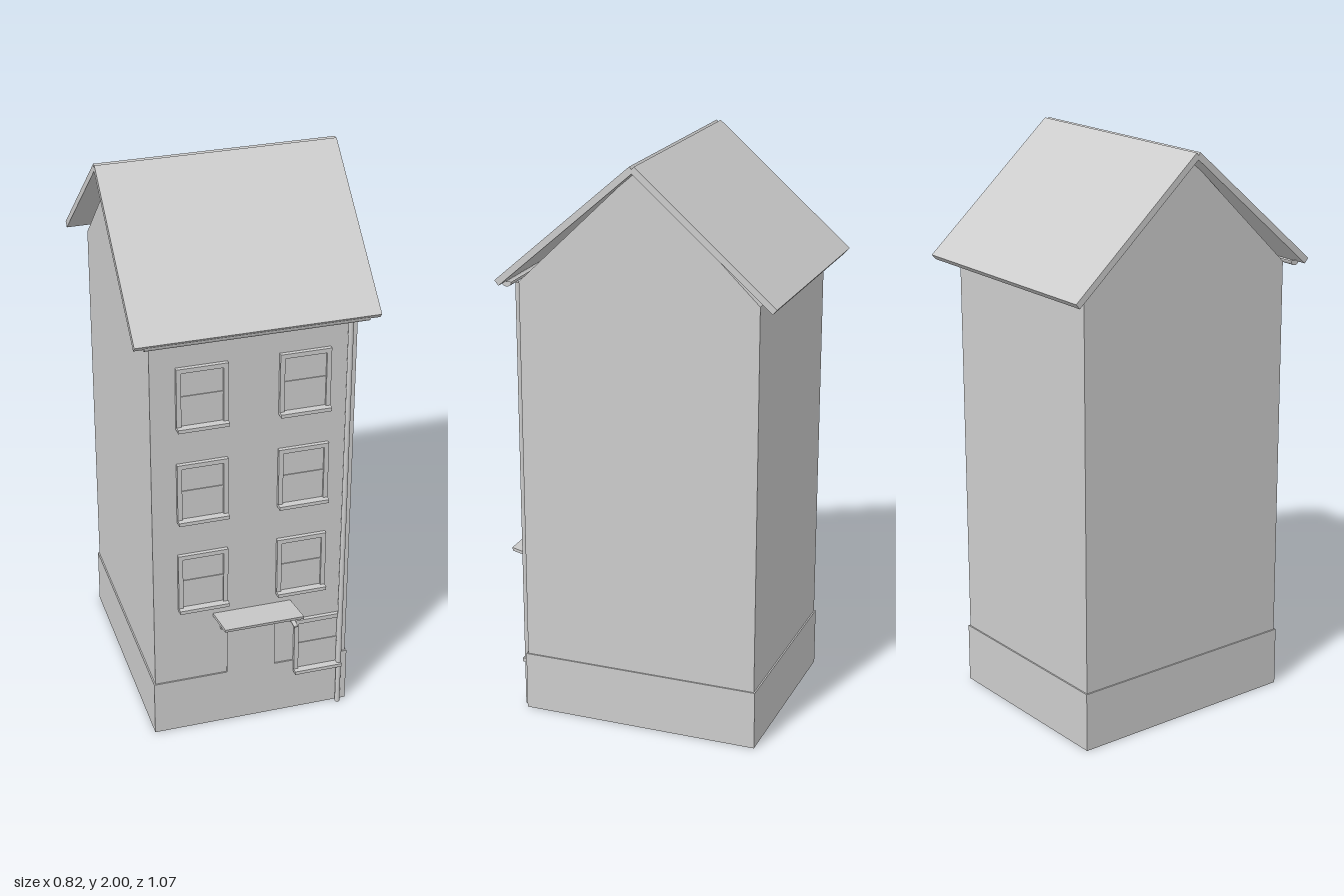
import * as THREE from 'three';

export function createModel() {
  const house = new THREE.Group();
  house.name = 'townHouse';
  const grey = new THREE.MeshStandardMaterial({ color: 0xcccccc, side: THREE.DoubleSide });
  grey.name = 'plain grey';

  const add = (name, geometry, parent = house) => {
    const mesh = new THREE.Mesh(geometry, grey);
    mesh.name = name;
    parent.add(mesh);
    return mesh;
  };
  // Box given by its limits on each axis
  const box = (name, x0, x1, y0, y1, z0, z1, parent) => {
    const g = new THREE.BoxGeometry(x1 - x0, y1 - y0, z1 - z0);
    g.translate((x0 + x1) / 2, (y0 + y1) / 2, (z0 + z1) / 2);
    return add(name, g, parent);
  };
  // Side profile of [z, y] points, extruded across the width
  const prism = (name, points, width) => {
    const shape = new THREE.Shape(points.map(([z, y]) => new THREE.Vector2(z, y)));
    const g = new THREE.ExtrudeGeometry(shape, { depth: width, bevelEnabled: false });
    g.translate(0, 0, -width / 2);
    g.rotateY(-Math.PI / 2);
    return add(name, g);
  };

  // Gabled body and plinth
  prism('walls', [[-0.46, 0.1], [0.38, 0.1], [0.38, 1.57], [-0.04, 1.977], [-0.46, 1.57]], 0.7);
  box('plinth', -0.355, 0.355, 0, 0.21, -0.465, 0.385);

  // Two roof slabs leaving a small notch along the ridge
  const ridgeZ = -0.0475;
  for (const s of [1, -1]) {
    const slab = [[0.0075, 2], [0.4875, 1.584], [0.473, 1.567], [-0.007, 1.983]];
    prism(s > 0 ? 'frontRoof' : 'backRoof', slab.map(([z, y]) => [ridgeZ + s * z, y]), 0.82);
  }

  // Half-round gutter and downpipe
  const gutter = new THREE.CylinderGeometry(0.018, 0.018, 0.75, 12, 1, false, -Math.PI / 2, Math.PI);
  gutter.rotateZ(Math.PI / 2);
  gutter.rotateX(Math.PI);
  // Turn the trough so its curved side hangs down
  gutter.computeBoundingBox();
  const centre = gutter.boundingBox.getCenter(new THREE.Vector3());
  if (centre.y > 0.001) gutter.rotateX(Math.PI);
  else if (centre.z > 0.001) gutter.rotateX(Math.PI / 2);
  else if (centre.z < -0.001) gutter.rotateX(-Math.PI / 2);
  add('gutter', gutter).position.set(0, 1.574, 0.413);
  add('downpipe', new THREE.CylinderGeometry(0.009, 0.009, 1.56, 12)).position.set(0.322, 0.78, 0.396);

  // Sash windows: frame with opening, middle rail and sill
  const addWindow = (cx, y0, y1, w = 0.175) => {
    const win = new THREE.Group();
    win.name = 'window';
    house.add(win);
    const x0 = cx - w / 2, x1 = cx + w / 2, t = 0.016, mid = (y0 + y1) / 2;
    box('leftFrame', x0, x0 + t, y0, y1, 0.375, 0.394, win);
    box('rightFrame', x1 - t, x1, y0, y1, 0.375, 0.394, win);
    box('topFrame', x0 + t, x1 - t, y1 - t, y1, 0.375, 0.394, win);
    box('middleRail', x0 + t, x1 - t, mid, mid + 0.01, 0.375, 0.389, win);
    box('pane', x0 + t, x1 - t, y0, y1 - t, 0.375, 0.386, win);
    box('sill', x0, x1, y0, y0 + 0.013, 0.375, 0.412, win);
  };
  for (const [y0, y1] of [[1.233, 1.46], [0.873, 1.1], [0.513, 0.74]]) {
    addWindow(-0.177, y0, y1);
    addWindow(0.173, y0, y1);
  }
  addWindow(0.242, 0.163, 0.387);

  // Door, lintel, small bracket and tilted canopy
  box('door', -0.09, 0.085, 0.2, 0.387, 0.37, 0.385);
  box('doorLintel', -0.115, 0.113, 0.408, 0.423, 0.37, 0.395);
  box('bracket', 0.14, 0.155, 0.386, 0.391, 0.38, 0.428);
  prism('canopy', [[0.375, 0.459], [0.529, 0.496], [0.532, 0.508], [0.375, 0.471]], 0.28);

  return house;
}
